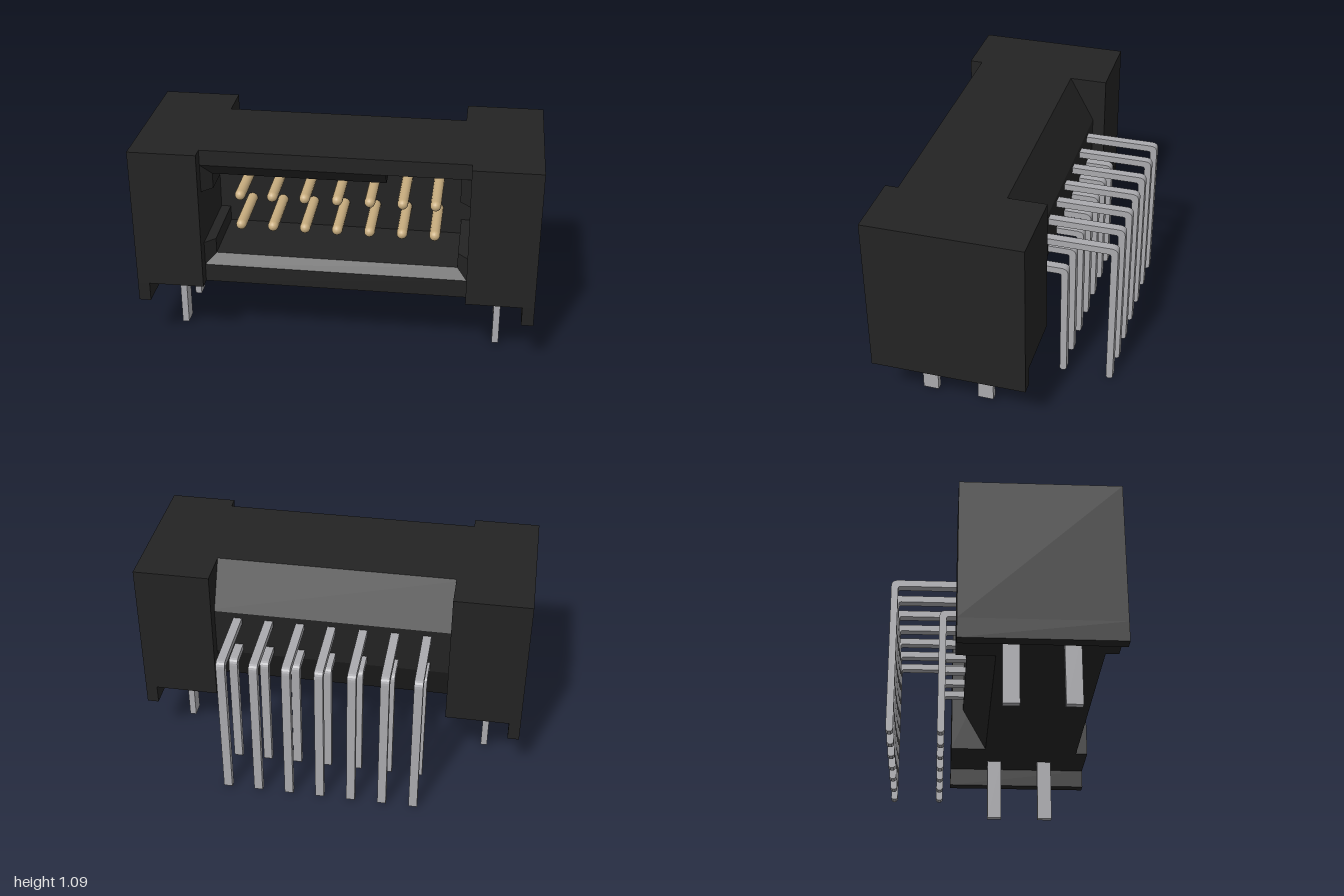
import * as THREE from 'three';

const plastic = new THREE.MeshStandardMaterial({ name: 'black plastic', color: 0x232323 });
const tin = new THREE.MeshStandardMaterial({ name: 'grey tin', color: 0xaaaaae });
const brass = new THREE.MeshStandardMaterial({ name: 'pale gold', color: 0xc8ad7f });

function add(parent, name, geometry, material) {
  const mesh = new THREE.Mesh(geometry, material);
  mesh.name = name;
  parent.add(mesh);
  return mesh;
}

// Box given by its lower and upper corners
function box(x0, x1, y0, y1, z0, z1) {
  return new THREE.BoxGeometry(x1 - x0, y1 - y0, z1 - z0)
    .translate((x0 + x1) / 2, (y0 + y1) / 2, (z0 + z1) / 2);
}

const polygon = (points) => new THREE.Shape(points.map(([a, b]) => new THREE.Vector2(a, b)));

// Profile in (z, y) swept along x
function prismX(shape, x0, x1) {
  return new THREE.ExtrudeGeometry(shape, { depth: x1 - x0, bevelEnabled: false, curveSegments: 5 })
    .rotateY(-Math.PI / 2).translate(x1, 0, 0);
}

// Profile in (x, z) swept along y
function prismY(shape, y0, y1) {
  return new THREE.ExtrudeGeometry(shape, { depth: y1 - y0, bevelEnabled: false })
    .rotateX(Math.PI / 2).translate(0, y1, 0);
}

// Right-angled flat lead with a rounded elbow, profile in (z, y)
function leadShape(zBack, yTop) {
  const t = 0.035, r = 0.035, ri = 0.012, zi = zBack + t, yi = yTop - t, e = 0.01;
  const s = new THREE.Shape();
  s.moveTo(-0.15, yTop);
  s.lineTo(zBack + r, yTop);
  s.quadraticCurveTo(zBack, yTop, zBack, yTop - r);
  s.lineTo(zBack, e);
  s.lineTo(zBack + e, 0);
  s.lineTo(zi - e, 0);
  s.lineTo(zi, e);
  s.lineTo(zi, yi - ri);
  s.quadraticCurveTo(zi, yi, zi + ri, yi);
  s.lineTo(-0.15, yi);
  s.closePath();
  return s;
}

export function createModel() {
  const model = new THREE.Group();
  model.name = 'boxHeaderConnector';
  const housing = new THREE.Group();
  housing.name = 'housing';
  model.add(housing);

  const floorZ = 0.08, frontZ = 0.49, lipZ = 0.44;

  // Core with sloped upper and lower back faces
  add(housing, 'core', prismX(polygon([
    [floorZ, 0.36], [floorZ, 1.09], [-0.035, 1.09], [-0.165, 0.85], [-0.165, 0.6], [-0.035, 0.36],
  ]), -0.66, 0.66), plastic);

  // Upper and lower walls of the socket
  add(housing, 'topWall', box(-0.66, 0.66, 1.01, 1.09, floorZ, frontZ), plastic);
  add(housing, 'bottomWall', box(-0.66, 0.66, 0.36, 0.455, floorZ, frontZ), plastic);

  // Chamfered socket rims; the top one stops short as a keying gap
  add(housing, 'bottomRim', prismX(polygon([
    [floorZ, 0.455], [frontZ, 0.455], [lipZ, 0.5], [floorZ, 0.5],
  ]), -0.66, 0.66), plastic);
  add(housing, 'topRim', prismX(polygon([
    [floorZ, 1.01], [frontZ, 1.01], [lipZ, 0.945], [floorZ, 0.945],
  ]), -0.66, 0.25), plastic);

  for (const s of [-1, 1]) {
    const side = s > 0 ? 'left' : 'right';
    const mirrored = (a, b, ...rest) => (s > 0 ? box(a, b, ...rest) : box(-b, -a, ...rest));

    // End blocks, back cheeks and standing feet
    add(housing, side + 'EndBlock', mirrored(0.66, 1, 0.36, 1.09, -0.23, 0.555), plastic);
    add(housing, side + 'BackCheek', mirrored(0.61, 0.66, 0.36, 1.09, -0.23, floorZ), plastic);
    add(housing, side + 'Foot', mirrored(0.94, 1, 0.26, 0.36, -0.23, 0.555), plastic);

    // Side rims above and below the side slot
    const rim = polygon([
      [s * 0.66, floorZ], [s * 0.66, frontZ], [s * 0.61, lipZ], [s * 0.61, floorZ],
    ]);
    add(housing, side + 'LowerRim', prismY(rim, 0.455, 0.58), plastic);
    add(housing, side + 'UpperRim', prismY(rim, 0.865, 1.01), plastic);

    // Flat retaining tabs
    for (const z of [0.315, 0.025]) {
      add(model, side + 'RetainingTab',
        mirrored(0.803, 0.837, 0.015, 0.37, z - 0.04, z + 0.04), tin);
    }
  }

  // Round-nosed contact pin, standing on the socket floor
  const r = 0.027, profile = [new THREE.Vector2(r, floorZ - 0.01)];
  for (let i = 0; i <= 5; i++) {
    const a = (i / 5) * Math.PI / 2;
    profile.push(new THREE.Vector2(r * Math.cos(a), 0.38 + r * Math.sin(a)));
  }
  const pin = new THREE.LatheGeometry(profile, 14).rotateX(Math.PI / 2);

  // Two rows of seven pins, each with its bent lead behind
  const rows = [
    { name: 'upper', y: 0.805, lead: leadShape(-0.555, 0.82) },
    { name: 'lower', y: 0.64, lead: leadShape(-0.31, 0.655) },
  ];
  for (const row of rows) {
    const lead = prismX(row.lead, -0.022, 0.022);
    for (let i = -3; i <= 3; i++) {
      const x = i * 0.163;
      add(model, row.name + 'ContactPin', pin, brass).position.set(x, row.y, 0);
      add(model, row.name + 'Lead', lead, tin).position.x = x;
    }
  }
  return model;
}
